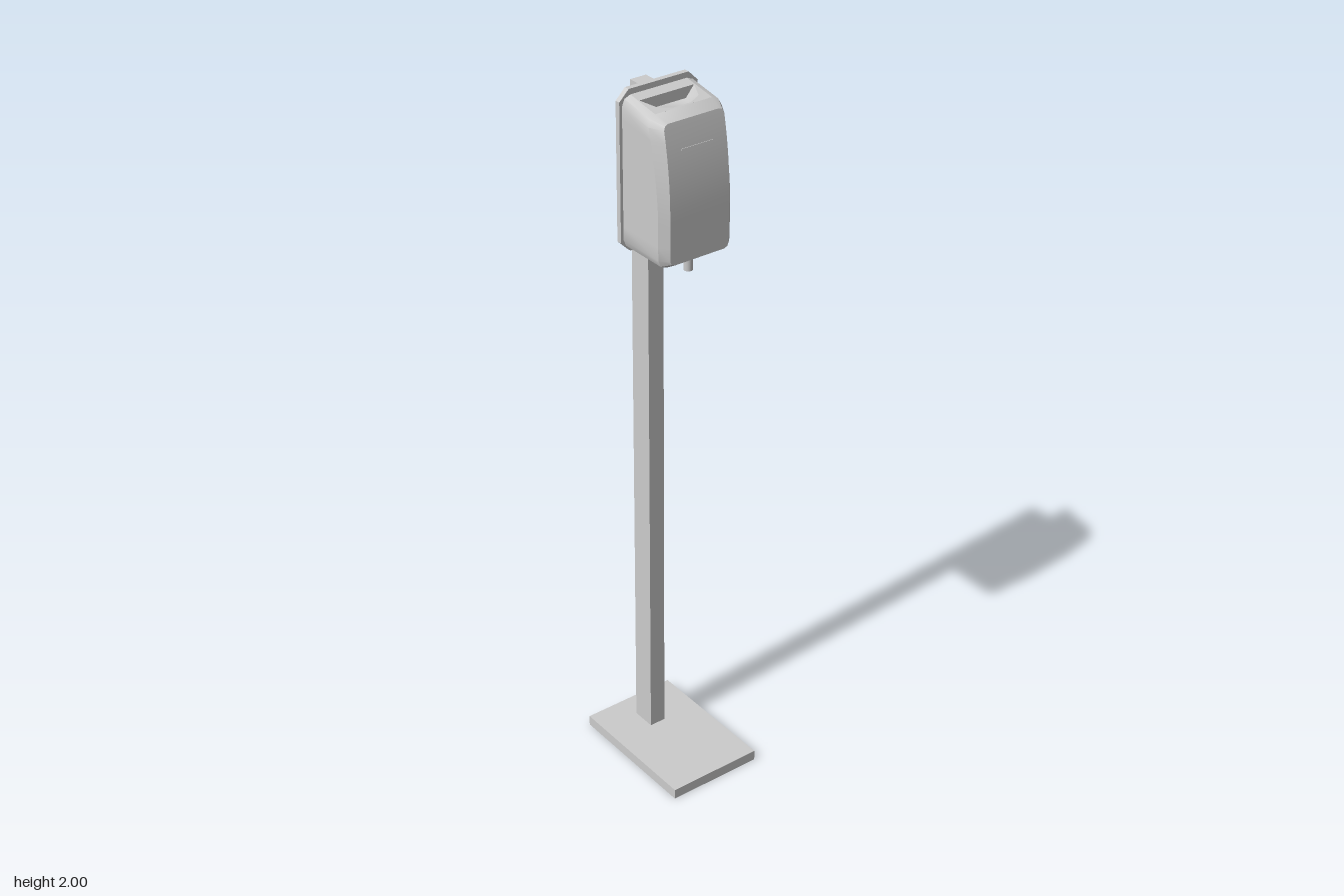
import * as THREE from 'three';
import { toCreasedNormals } from 'three/addons/utils/BufferGeometryUtils.js';

const material = new THREE.MeshStandardMaterial({ color: 0xcccccc, side: THREE.DoubleSide });

function part(name, geometry, x = 0, y = 0, z = 0) {
  const mesh = new THREE.Mesh(geometry, material);
  mesh.name = name;
  mesh.position.set(x, y, z);
  return mesh;
}

function fromFaces(points, index, crease) {
  const geo = new THREE.BufferGeometry();
  geo.setAttribute('position', new THREE.Float32BufferAttribute(points.flat(), 3));
  geo.setIndex(index);
  return toCreasedNormals(geo, crease);
}

// Height-dependent depth of the bowed front and of the shoulder behind it
const bow = (y) => Math.max(0, (y - 1.72) / 0.23);
const frontZ = (y) => 0.116 - 0.026 * bow(y) ** 2;
const shoulderZ = (y) => frontZ(y) - 0.022 - 0.014 * Math.min(1, bow(y) * 0.93);
const topY = (z) => 1.985 - 0.017 * (z + 0.049) / 0.099;

// Rounded upright outline: right side going up, then left side coming down
function ring(halfW, y0, y1, c, depth) {
  const right = [];
  for (const a of [0, 0.5, 1]) {
    const t = a * Math.PI / 2;
    right.push([halfW - c + c * Math.sin(t), y0 + c - c * Math.cos(t)]);
  }
  for (let i = 1; i < 10; i++) right.push([halfW, y0 + c + (y1 - y0 - 2 * c) * i / 10]);
  for (const a of [1, 0.5, 0]) {
    const t = a * Math.PI / 2;
    right.push([halfW - c + c * Math.sin(t), y1 - c + c * Math.cos(t)]);
  }
  const left = right.map(([x, y]) => [-x, y]).reverse();
  return [...right, ...left].map(([x, y]) => [x, y, depth(y)]);
}

function housingGeometry() {
  const rings = [
    ring(0.11, 1.58, 1.985, 0.025, () => -0.049),
    ring(0.11, 1.58, 1.968, 0.025, shoulderZ),
    ring(0.09, 1.592, 1.955, 0.014, frontZ),
  ];
  const n = rings[0].length, half = n / 2, index = [];
  for (let r = 0; r < 2; r++) {
    for (let i = 0; i < n; i++) {
      // top and bottom are separate panels with pockets
      if (r === 0 && (i === half - 1 || i === n - 1)) continue;
      const a = r * n + i, b = r * n + (i + 1) % n;
      index.push(a, b, b + n, a, b + n, a + n);
    }
  }
  for (let j = 0; j < half - 1; j++) {
    const R = 2 * n + j, L = 3 * n - 1 - j;
    index.push(L, R, R + 1, L, R + 1, L - 1);
  }
  return fromFaces(rings.flat(), index, 0.5);
}

// Flat panel in x and z with a hole; its height follows a rule
function panelWithHole(outline, hole, up, height) {
  const sign = up ? -1 : 1;
  const toVec = ([x, z]) => new THREE.Vector2(x, sign * z);
  const shape = new THREE.Shape(outline.map(toVec));
  shape.holes.push(new THREE.Path(hole.map(toVec)));
  const geo = new THREE.ShapeGeometry(shape);
  geo.rotateX(sign * Math.PI / 2);
  const p = geo.attributes.position;
  for (let i = 0; i < p.count; i++) p.setY(i, height(p.getZ(i)));
  geo.computeVertexNormals();
  return geo;
}

// Sloping pocket wall and floor under a rim
function pocket(rim, height, floorY, shrink, cx, cz) {
  const n = rim.length, index = [];
  const points = rim.map(([x, z]) => [x, height(z), z]);
  for (const [x, z] of rim) points.push([cx + (x - cx) * shrink, floorY, cz + (z - cz) * shrink]);
  points.push([cx, floorY, cz]);
  for (let i = 0; i < n; i++) {
    const j = (i + 1) % n;
    index.push(i, j, j + n, i, j + n, i + n, i + n, j + n, 2 * n);
  }
  // rims run clockwise from above for a top pocket, reversed for a bottom one
  return fromFaces(points, index, 0.9);
}

export function createModel() {
  const model = new THREE.Group();
  model.name = 'dispenserStand';

  // Hollow foot, open underneath
  const foot = new THREE.BoxGeometry(0.28, 0.03, 0.406);
  const faces = Array.from(foot.index.array);
  faces.splice(18, 6);
  foot.setIndex(faces);
  model.add(part('basePlate', foot, 0, 0.015, 0));

  model.add(part('post', new THREE.BoxGeometry(0.048, 1.95, 0.07), 0, 1.005, -0.099));

  // Chamfered back plate
  const w = 0.118, y0 = 1.57, y1 = 2, c = 0.028;
  const plate = new THREE.Shape([
    [w - c, y0], [w, y0 + c], [w, y1 - c], [w - c, y1],
    [c - w, y1], [-w, y1 - c], [-w, y0 + c], [c - w, y0],
  ].map(([x, y]) => new THREE.Vector2(x, y)));
  model.add(part('backPlate',
    new THREE.ExtrudeGeometry(plate, { depth: 0.015, bevelEnabled: false }), 0, 0, -0.064));

  const dispenser = new THREE.Group();
  dispenser.name = 'dispenser';
  model.add(dispenser);
  dispenser.add(part('housing', housingGeometry()));

  // Top with scoop
  const scoop = [[-0.082, -0.017], [-0.062, 0.027], [-0.03, 0.045],
    [0.03, 0.045], [0.062, 0.027], [0.082, -0.017]];
  const edge = (z) => [[-0.085, -0.049], [-0.085, z], [0.085, z], [0.085, -0.049]];
  dispenser.add(part('topPanel', panelWithHole(edge(shoulderZ(1.968)), scoop, true, topY)));
  dispenser.add(part('topScoop', pocket(scoop, topY, 1.95, 0.7, 0, -0.017)));

  // Underside with outlet recess
  const recess = [[0.06, -0.03], [0.06, 0.085], [-0.06, 0.085], [-0.06, -0.03]].reverse();
  const flat = () => 1.58;
  dispenser.add(part('bottomPanel', panelWithHole(edge(shoulderZ(1.58)), recess, false, flat)));
  dispenser.add(part('outletRecess', pocket([...recess].reverse(), flat, 1.605, 0.9, 0, 0.03)));

  dispenser.add(part('nozzle', new THREE.CylinderGeometry(0.013, 0.012, 0.067, 16), 0, 1.5725, 0.07));

  // Thin level slot on the front
  const slot = part('frontSlot', new THREE.BoxGeometry(0.094, 0.005, 0.004), 0, 1.885, frontZ(1.885));
  slot.rotation.x = -0.16;
  dispenser.add(slot);

  return model;
}
